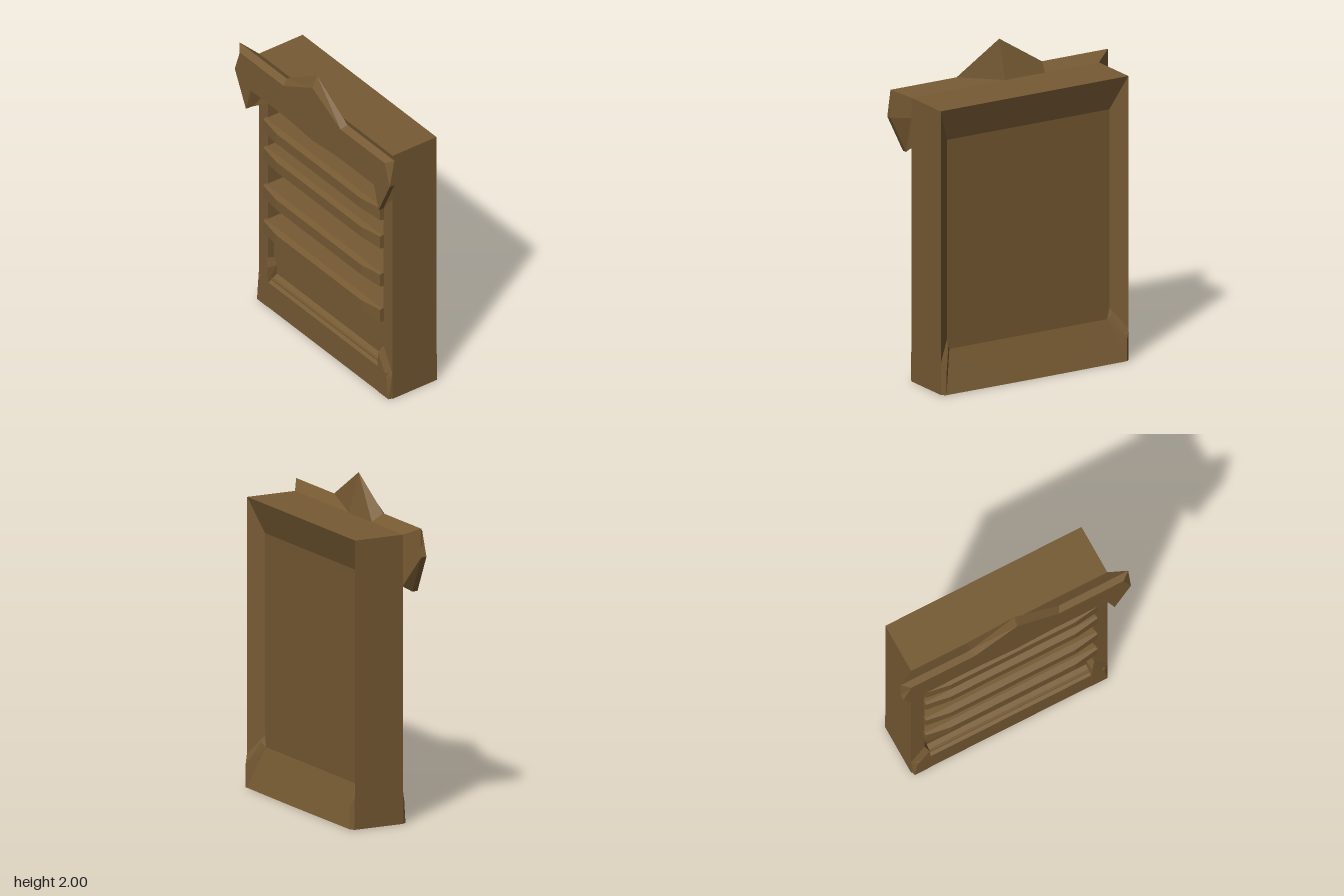
import * as THREE from 'three';
import { ConvexGeometry } from 'three/addons/geometries/ConvexGeometry.js';

// Closed solid through rings of points; rings run counter-clockwise as seen from outside the first cap.
function loft(rings, flatten) {
  const pos = [];
  const tri = (a, b, c) => pos.push(...a, ...b, ...c);
  const cap = (ring, flip) => {
    const contour = rings[0].map((_, i) => new THREE.Vector2(...flatten(ring[i])));
    for (const [a, b, c] of THREE.ShapeUtils.triangulateShape(contour, []))
      flip ? tri(ring[a], ring[c], ring[b]) : tri(ring[a], ring[b], ring[c]);
  };
  cap(rings[0], false);
  for (let r = 0; r + 1 < rings.length; r++) {
    const A = rings[r], B = rings[r + 1];
    A.forEach((a, i) => {
      const j = (i + 1) % A.length;
      tri(a, B[i], B[j]);
      tri(a, B[j], A[j]);
    });
  }
  cap(rings[rings.length - 1], true);
  const g = new THREE.BufferGeometry();
  g.setAttribute('position', new THREE.Float32BufferAttribute(pos, 3));
  g.computeVertexNormals();
  return g;
}

const facingZ = p => [p[0], p[1]];
const facingX = p => [-p[2], p[1]];
const rect = (w, y0, y1, z) => [[-w, y0, z], [w, y0, z], [w, y1, z], [-w, y1, z]];

// Mirrors a half outline (top centre, clockwise, to bottom centre) into a full ring.
function mirrorRing(half, z) {
  const left = half.slice(1, -1).map(([x, y]) => [-x, y]).reverse();
  return [...half, ...left].reverse().map(([x, y]) => [x, y, z]);
}

const hull = pts => new ConvexGeometry(pts.map(p => new THREE.Vector3(...p)));
const mirrored = (pts, s) => pts.map(([x, y, z]) => [x * s, y, z]);

export function createModel() {
  const group = new THREE.Group();
  const wood = new THREE.MeshStandardMaterial({ color: 0x765a33 });
  wood.name = 'brownWood';
  const add = (name, geometry) => {
    const mesh = new THREE.Mesh(geometry, wood);
    mesh.name = name;
    group.add(mesh);
    return mesh;
  };

  // Case with an open front and a bevelled recess in the back
  add('bookcaseBody', loft([
    rect(0.57, 0.2, 1.545, -0.09),
    rect(0.57, 0.2, 1.545, 0.125),
    rect(0.66, 0, 1.76, 0.125),
    rect(0.66, 0, 1.76, -0.2),
    rect(0.57, 0.25, 1.55, -0.13),
  ], facingZ));

  // Crown: body outline, flared rim, bevelled front
  add('cornice', loft([
    mirrorRing([[0, 1.925], [0.28, 1.78], [0.715, 1.78], [0.765, 1.635], [0.655, 1.405],
      [0.648, 1.43], [0.61, 1.565], [0.25, 1.565], [0, 1.545]], 0.225),
    mirrorRing([[0, 2], [0.3, 1.81], [0.765, 1.81], [0.765, 1.635], [0.655, 1.405],
      [0.635, 1.42], [0.595, 1.555], [0.26, 1.555], [0, 1.533]], 0.19),
    mirrorRing([[0, 1.76], [0.28, 1.76], [0.66, 1.76], [0.66, 1.635], [0.66, 1.45],
      [0.57, 1.45], [0.57, 1.535], [0.28, 1.535], [0, 1.51]], 0.124),
  ], facingZ));

  // Shelves with worn front edges
  const shelfRing = (x, y0, y1, zFront, inset) => [
    [x, y0 + inset, zFront], [x, y0, 0.14], [x, y0, -0.1],
    [x, y1, -0.1], [x, y1, 0.14], [x, y1 - inset, zFront],
  ];
  [0.52, 0.775, 1.05, 1.255].forEach((y, i) => {
    const top = y + 0.094;
    add('shelf' + (i + 1), loft([
      shelfRing(0.577, y, top, 0.155, 0.004),
      shelfRing(0.42, y, top, 0.177, 0.012),
      shelfRing(-0.42, y, top, 0.177, 0.012),
      shelfRing(-0.577, y, top, 0.155, 0.004),
    ], facingX));
  });

  // Closed board under the lowest shelf
  const board = add('lowerPanel', new THREE.BoxGeometry(1.15, 0.36, 0.17));
  board.position.set(0, 0.37, -0.005);

  // Front plinth with a sloping top
  const plinthRing = x => [[x, 0, 0.146], [x, 0, 0.07], [x, 0.215, 0.08], [x, 0.18, 0.146]];
  add('frontPlinth', loft([plinthRing(0.63), plinthRing(-0.63)], facingX));

  // Rear plinth, slightly bowed at the middle
  const rearHalf = [[0.63, 0, -0.19], [0.63, 0, -0.222], [0.57, 0.25, -0.13], [0.12, 0, -0.226]];
  add('rearPlinth', hull([...rearHalf, ...mirrored(rearHalf, -1)]));

  // Corner guards at the foot of each post
  const frontGuard = [
    [0.66, 0, 0.11], [0.66, 0.18, 0.11], [0.66, 0.18, 0.126], [0.57, 0.335, 0.126],
    [0.57, 0.32, 0.08], [0.54, 0.28, 0.08], [0.54, 0, 0.08],
    [0.648, 0, 0.148], [0.632, 0.14, 0.148], [0.547, 0.28, 0.148], [0.54, 0.18, 0.148], [0.54, 0, 0.148],
  ];
  const rearGuard = [
    [0.66, 0, -0.19], [0.66, 0.19, -0.19], [0.66, 0, -0.203], [0.66, 0.19, -0.203],
    [0.57, 0.33, -0.125], [0.555, 0.25, -0.13], [0.62, 0, -0.2],
    [0.635, 0, -0.225], [0.635, 0.14, -0.225], [0.575, 0.28, -0.15],
  ];
  for (const [side, s] of [['left', 1], ['right', -1]]) {
    add(side + 'FrontGuard', hull(mirrored(frontGuard, s)));
    add(side + 'RearGuard', hull(mirrored(rearGuard, s)));
  }
  return group;
}
